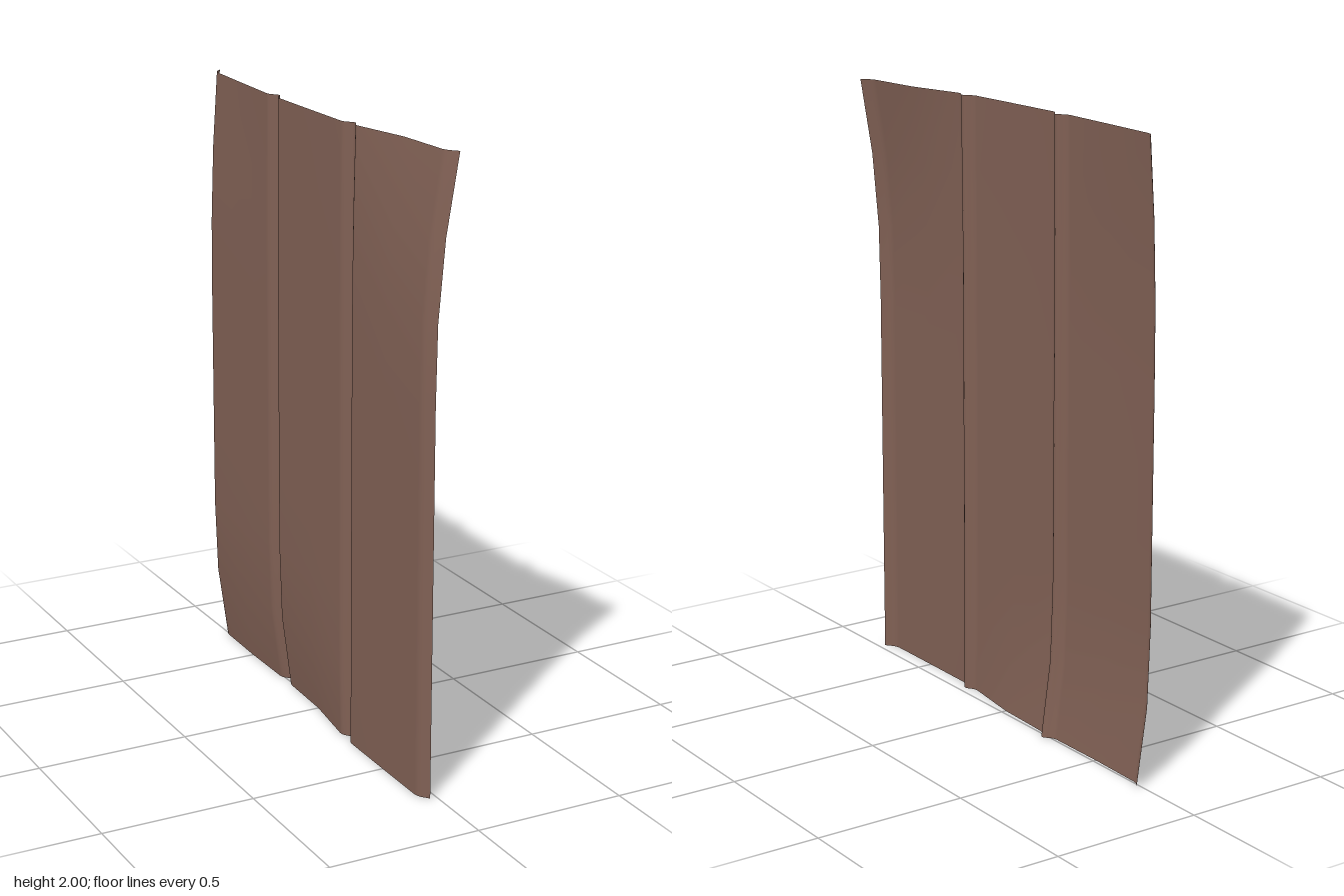
import * as THREE from 'three';

const brown = new THREE.MeshStandardMaterial({ color: 0x806054, side: THREE.DoubleSide });
brown.name = 'rusty brown';

// piecewise linear interpolation through [position, value] pairs
function lerpTable(table, t) {
  for (let i = 1; i < table.length; i++) {
    const [a, va] = table[i - 1], [b, vb] = table[i];
    if (t <= b) return va + (vb - va) * Math.max(0, (t - a) / (b - a));
  }
  return table[table.length - 1][1];
}

// half of a rounded rib: [distance from its centre, height]
const RIB = [[0, 0.025], [0.008, 0.022], [0.016, 0.015], [0.025, 0.007], [0.034, 0.002], [0.045, 0]];
// lip along each outer edge: [distance from the edge, height]
const LIP = [[0, 0.028], [0.012, 0.018], [0.024, 0.008], [0.034, 0.003], [0.048, 0]];

// outward bend of the sheet's top and bottom ends along z
const TOP_BEND = [[-0.75, 0.03], [-0.5, 0.016], [-0.25, 0.003], [0, 0.003], [0.25, 0.004], [0.5, 0.055], [0.75, 0.068]];
const BOTTOM_BEND = [[-0.75, 0.045], [-0.5, 0.04], [-0.25, 0.042], [0, 0.034], [0.25, 0.001], [0.5, 0], [0.75, 0]];
// how far each bend reaches along the height
const TOP_REACH = [[1.25, 0], [1.5, 0.06], [1.75, 0.38], [2, 1]];
const BOTTOM_REACH = [[0, 1], [0.25, 0.2], [0.5, 0]];

// pressed cross-section: two ribs and two edge lips
function sectionHeight(z) {
  return lerpTable(RIB, Math.abs(Math.abs(z) - 0.25)) + lerpTable(LIP, 0.75 - Math.abs(z));
}

export function createModel() {
  const group = new THREE.Group();
  group.name = 'corrugatedSheet';

  // columns of the sheet, dense at ribs and lips
  const half = [0.5];
  RIB.forEach(([d]) => half.push(0.25 + d, 0.25 - d));
  LIP.forEach(([d]) => half.push(0.75 - d));
  const columns = [...new Set([0, ...half, ...half.map((z) => -z)])].sort((a, b) => b - a);

  // bent metal panel
  const rows = 8;
  const geometry = new THREE.PlaneGeometry(1, 2, columns.length - 1, rows);
  const position = geometry.attributes.position;
  for (let i = 0; i < position.count; i++) {
    const z = columns[i % columns.length];
    const y = position.getY(i) + 1;
    const bend = lerpTable(TOP_BEND, z) * lerpTable(TOP_REACH, y)
      + lerpTable(BOTTOM_BEND, z) * lerpTable(BOTTOM_REACH, y);
    position.setXYZ(i, -0.05 + sectionHeight(z) + bend, y, z);
  }
  geometry.computeVertexNormals();

  const panel = new THREE.Mesh(geometry, brown);
  panel.name = 'ribbedPanel';
  group.add(panel);
  return group;
}
